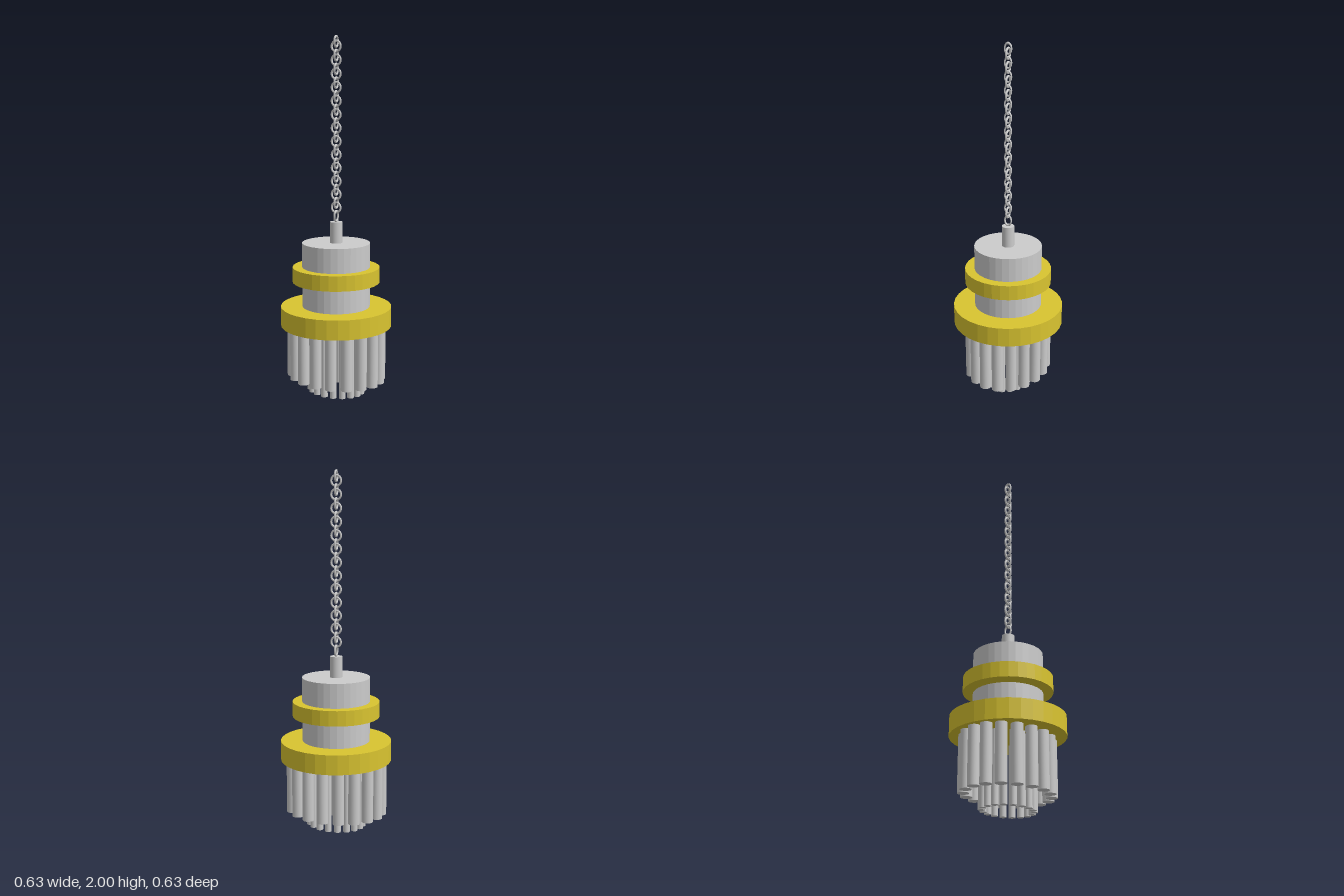
import * as THREE from 'three';

export function createModel() {
  const model = new THREE.Group();
  const grey = new THREE.MeshStandardMaterial({ color: 0xcccccc, flatShading: true });
  const smoothGrey = new THREE.MeshStandardMaterial({ color: 0xcccccc });
  const gold = new THREE.MeshStandardMaterial({ color: 0xd9c430, flatShading: true });

  const add = (parent, name, geometry, material, x = 0, y = 0, z = 0) => {
    const mesh = new THREE.Mesh(geometry, material);
    mesh.name = name;
    mesh.position.set(x, y, z);
    parent.add(mesh);
    return mesh;
  };

  // Upright cylinder between two heights
  const disc = (name, radius, y0, y1, material) =>
    add(model, name, new THREE.CylinderGeometry(radius, radius, y1 - y0, 32), material, 0, (y0 + y1) / 2);

  // Stacked lamp body
  disc('lowerBand', 0.313, 0.39, 0.5, gold);
  disc('lowerDrum', 0.191, 0.5, 0.63, grey);
  disc('upperBand', 0.245, 0.64, 0.725, gold);
  disc('upperDrum', 0.191, 0.725, 0.862, grey);
  disc('stem', 0.035, 0.6, 0.98, smoothGrey);

  // Oval rings of hanging rods
  const rodRing = (name, rx, rz, radius, bottom) => {
    const ring = new THREE.Group();
    ring.name = name;
    model.add(ring);
    const top = 0.4, count = 18;
    const rod = new THREE.CylinderGeometry(radius, radius, top - bottom, 16);
    for (let i = 0; i < count; i++) {
      const a = (i / count) * Math.PI * 2;
      add(ring, 'rod', rod, smoothGrey, rx * Math.sin(a), (top + bottom) / 2, rz * Math.cos(a));
    }
  };
  rodRing('outerRods', 0.261, 0.212, 0.032, 0.08);
  rodRing('innerRods', 0.155, 0.125, 0.019, 0);

  // Chain of alternating wide and narrow links
  const chain = new THREE.Group();
  chain.name = 'chain';
  model.add(chain);
  const pitch = 0.0733;
  const wideLink = new THREE.TorusGeometry(0.0285, 0.006, 8, 24);
  const narrowLink = new THREE.TorusGeometry(0.0285, 0.0065, 8, 24);
  narrowLink.scale(0.66, 1, 1).rotateY(Math.PI / 2);
  for (let i = 0; i < 14; i++) {
    const y = 1.965 - i * pitch;
    add(chain, 'narrowLink', narrowLink, smoothGrey, 0, y, 0);
    if (i < 13) add(chain, 'wideLink', wideLink, smoothGrey, 0, y - 0.025, 0);
  }
  return model;
}
